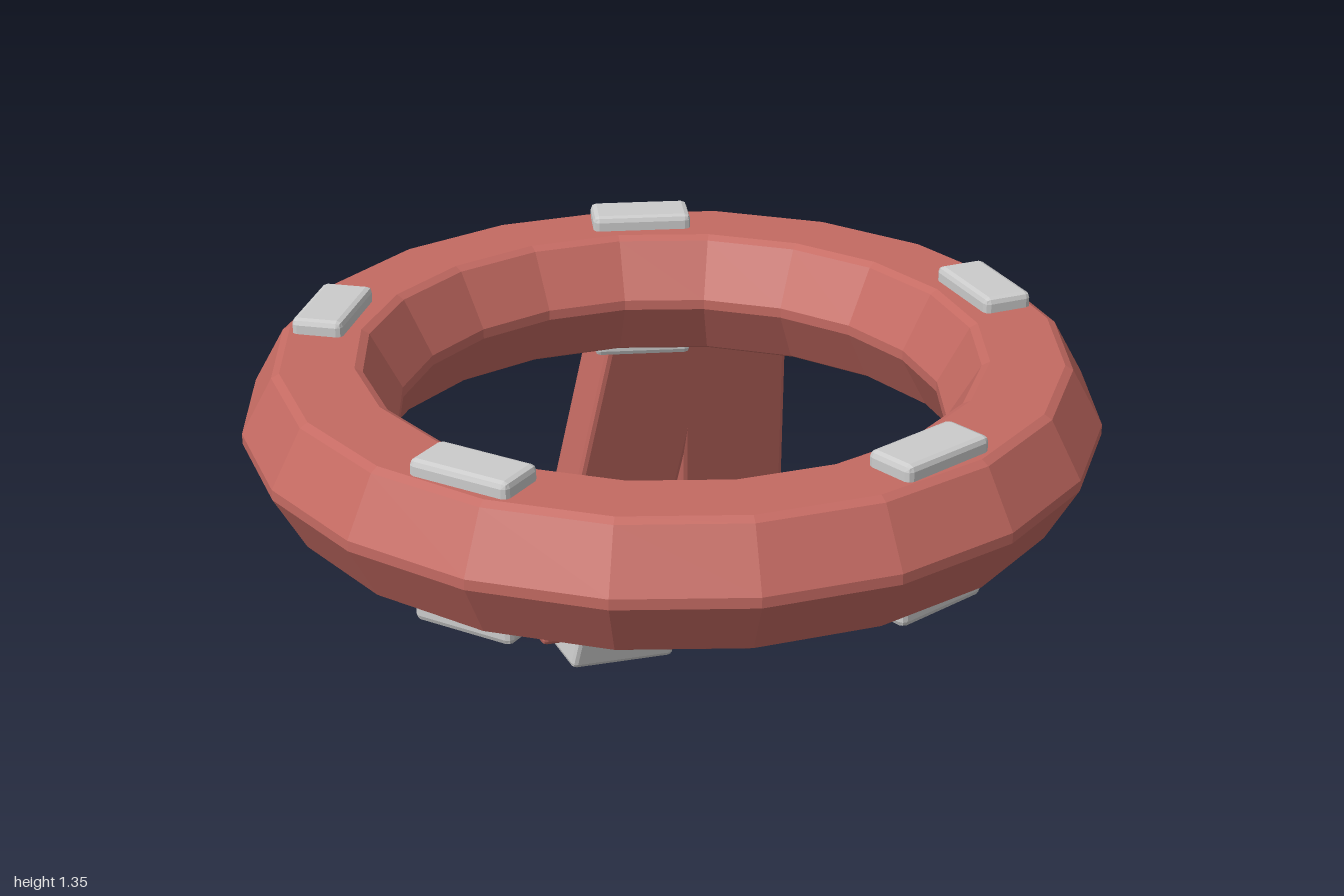
import * as THREE from 'three';
import { RoundedBoxGeometry } from 'three/addons/geometries/RoundedBoxGeometry.js';

const rad = THREE.MathUtils.degToRad;

export function createModel() {
  const model = new THREE.Group();
  const red = new THREE.MeshStandardMaterial({ color: 0xc46a62, flatShading: true });
  const grey = new THREE.MeshStandardMaterial({ color: 0xcccccc, flatShading: true });

  // Box with narrow chamfered edges
  function block(name, size, material, parent) {
    const mesh = new THREE.Mesh(new RoundedBoxGeometry(...size, 1, 0.014), material);
    mesh.name = name;
    parent.add(mesh);
    return mesh;
  }

  // Ring: bevelled hexagonal section swept round twenty sides
  const collar = new THREE.Group();
  collar.name = 'collar';
  collar.position.set(0, 1.17, 0.03);
  model.add(collar);

  const outer = [[0.875, -0.15], [0.893, -0.14], [0.965, -0.012], [0.965, 0.012], [0.893, 0.14], [0.875, 0.15]];
  const inner = [[0.71, 0.15], [0.692, 0.14], [0.62, 0.012], [0.62, -0.012], [0.692, -0.14], [0.71, -0.15]];
  const section = [...outer, ...inner, outer[0]].map(([r, y]) => new THREE.Vector2(r, y));
  const ring = new THREE.Mesh(new THREE.LatheGeometry(section, 20), red);
  ring.name = 'ring';
  collar.add(ring);

  // Five studs passing through the ring, showing above and below
  for (let i = 0; i < 5; i++) {
    const a = rad(5 + i * 72);
    const stud = block('stud', [0.12, 0.37, 0.24], grey, collar);
    stud.position.set(0.795 * Math.cos(a), 0, 0.795 * Math.sin(a));
    stud.rotation.y = -a;
  }

  // Two hanging tails, each with a clasp at its lower end
  const tails = [
    { name: 'rightTail', x: 0.32, lean: -8, clasp: [0.31, 0.092] },
    { name: 'leftTail', x: 0.635, lean: 5.5, clasp: [0.64, 0.095] },
  ];
  for (const { name, x, lean, clasp } of tails) {
    const tail = block(name, [0.31, 1.03, 0.13], red, model);
    tail.position.set(x, 0.58, -0.847);
    tail.rotation.set(rad(10), 0, rad(lean));

    const end = block(name + 'Clasp', [0.315, 0.125, 0.135], grey, model);
    end.position.set(clasp[0], clasp[1], -0.85);
    end.rotation.copy(tail.rotation);
  }

  return model;
}
